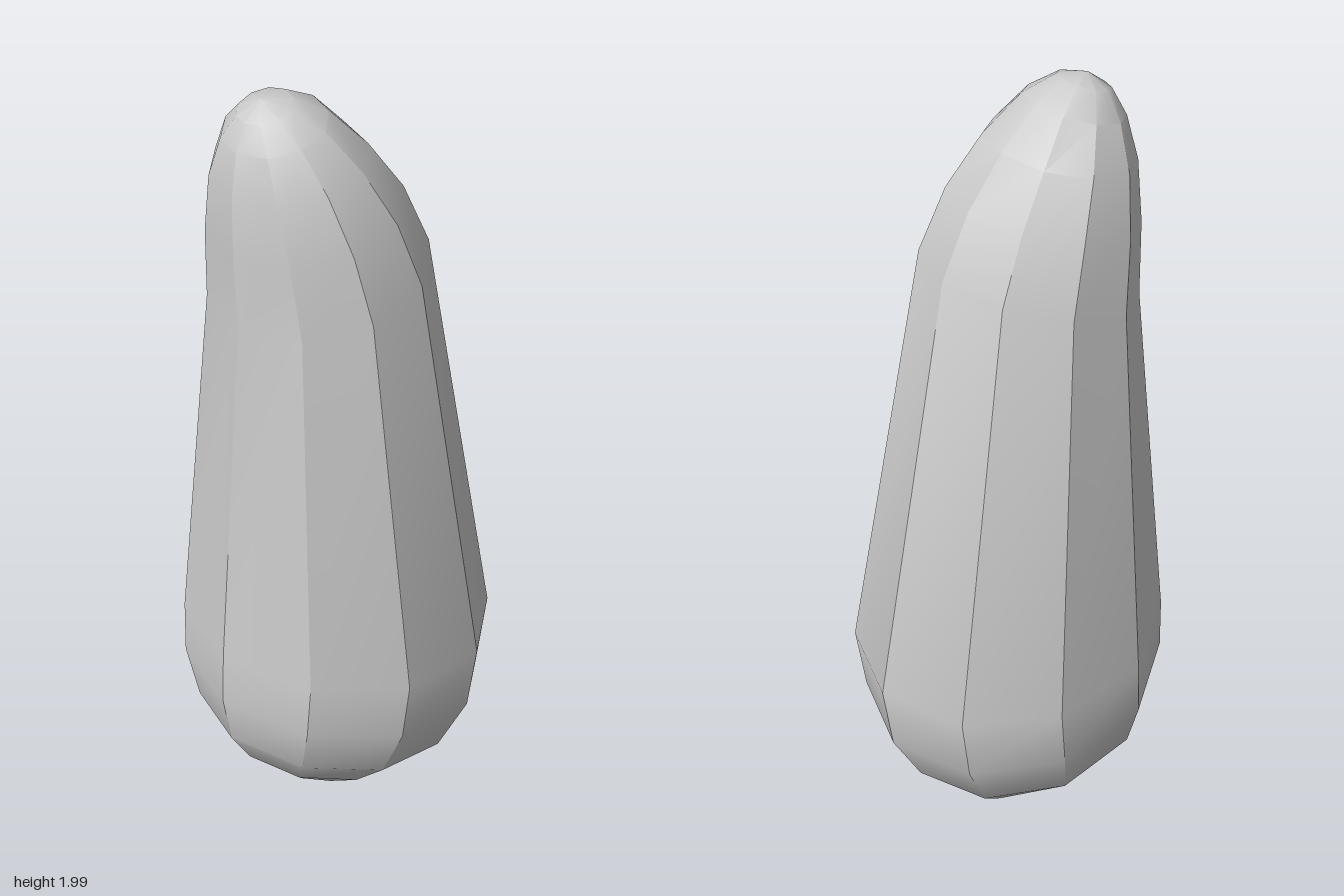
import * as THREE from 'three';
import { toCreasedNormals } from 'three/addons/utils/BufferGeometryUtils.js';

const SIDES = 10;
const PHASE = -0.1;

// Tilted rings from bottom to top: left x, left y, right x, right y, half depth
const RINGS = [
  [-0.22, 0.085, 0.03, 0.005, 0.12],
  [-0.31, 0.18, 0.18, 0.05, 0.22],
  [-0.375, 0.29, 0.29, 0.15, 0.32],
  [-0.4, 0.43, 0.37, 0.3, 0.375],
  [-0.395, 0.57, 0.395, 0.48, 0.383],
  [-0.31, 1.47, 0.19, 1.6, 0.265],
  [-0.315, 1.65, 0.12, 1.75, 0.235],
  [-0.31, 1.8, 0.03, 1.87, 0.187],
  [-0.29, 1.9, -0.06, 1.96, 0.125],
  [-0.262, 1.96, -0.14, 2.0, 0.065],
];
const BOTTOM = [-0.1, 0.02, 0];
const TOP = [-0.21, 2.0, 0];

function createBodyGeometry() {
  const positions = [];
  const index = [];
  for (const [lx, ly, rx, ry, depth] of RINGS) {
    for (let i = 0; i < SIDES; i++) {
      const a = PHASE + (i / SIDES) * Math.PI * 2;
      const c = Math.cos(a);
      positions.push(
        (lx + rx) / 2 + ((rx - lx) / 2) * c,
        (ly + ry) / 2 + ((ry - ly) / 2) * c,
        (depth / 0.977) * Math.sin(a)
      );
    }
  }
  const bottom = RINGS.length * SIDES;
  const top = bottom + 1;
  positions.push(...BOTTOM, ...TOP);

  const last = (RINGS.length - 1) * SIDES;
  for (let i = 0; i < SIDES; i++) {
    const j = (i + 1) % SIDES;
    // Side faces between neighbouring rings
    for (let r = 0; r < last; r += SIDES) {
      const n = r + SIDES;
      index.push(r + i, n + i, r + j, n + i, n + j, r + j);
    }
    // Rounded ends
    index.push(bottom, i, j);
    index.push(last + i, top, last + j);
  }

  const geometry = new THREE.BufferGeometry();
  geometry.setAttribute('position', new THREE.Float32BufferAttribute(positions, 3));
  geometry.setIndex(index);
  return toCreasedNormals(geometry, Math.PI / 6);
}

export function createModel() {
  const group = new THREE.Group();
  group.name = 'leaningPod';
  const material = new THREE.MeshStandardMaterial({ color: 0xcccccc });
  const body = new THREE.Mesh(createBodyGeometry(), material);
  body.name = 'body';
  group.add(body);
  return group;
}
